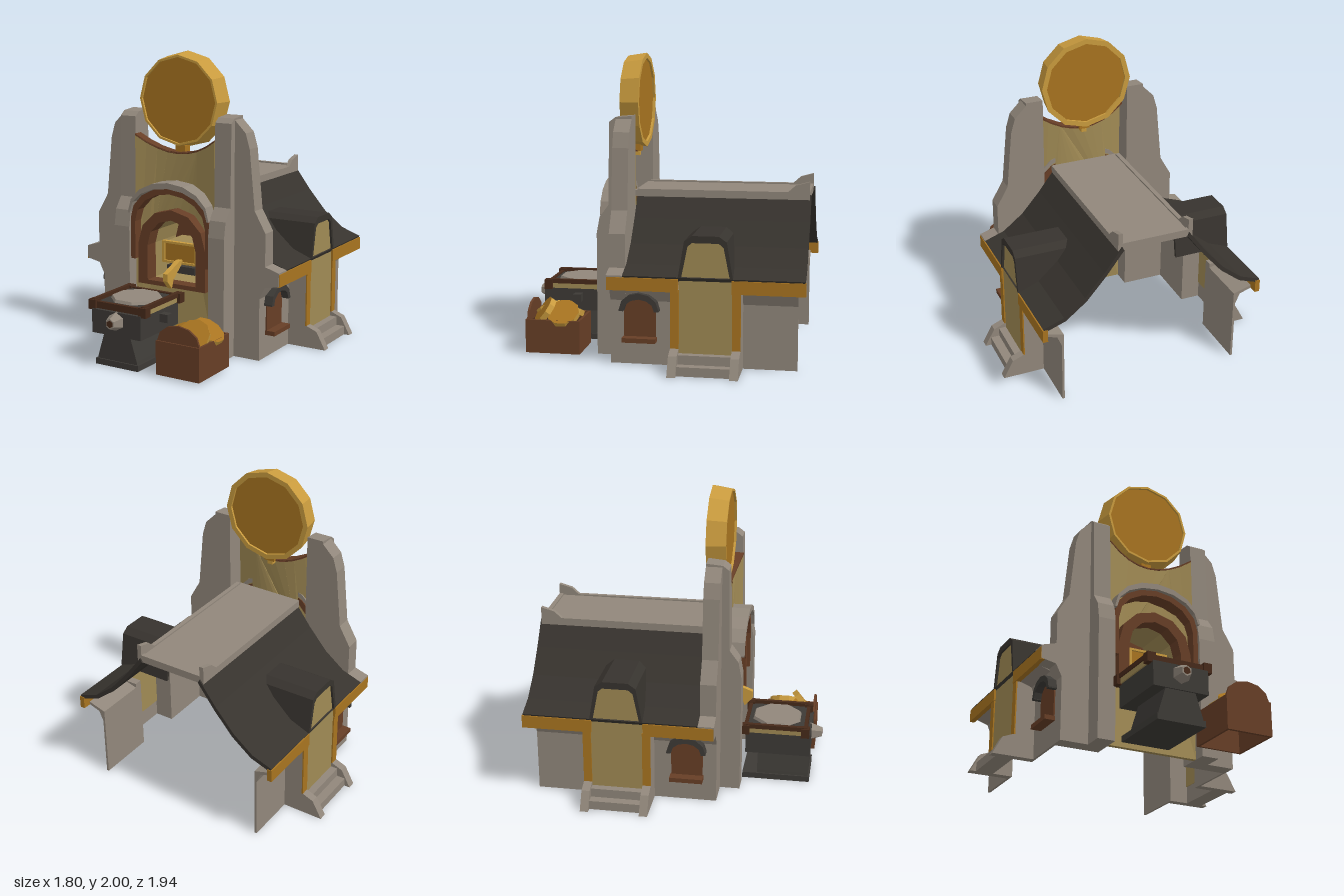
import * as THREE from 'three';

export function createModel() {
  const root = new THREE.Group();
  const mat = (name, color) => {
    const m = new THREE.MeshStandardMaterial({ color, flatShading: true, side: THREE.DoubleSide });
    m.name = name;
    return m;
  };
  const stone = mat('stone', 0x91877b), slate = mat('slate', 0x37332e), tan = mat('tanPlaster', 0xa08a54);
  const amber = mat('amberTrim', 0xa87420), gold = mat('gold', 0xc99b3e), wood = mat('wood', 0x673e26);
  const iron = mat('iron', 0x3d3a36), darkWood = mat('darkWood', 0x472a1a);

  // helpers
  const add = (name, geo, m) => {
    const mesh = new THREE.Mesh(geo, m);
    mesh.name = name;
    root.add(mesh);
    return mesh;
  };
  const both = (name, geo, m) => {
    add(name + 'Left', geo, m);
    const g = geo.index ? geo.toNonIndexed() : geo.clone();
    const p = g.attributes.position;
    for (let i = 0; i < p.count; i += 3) { // mirror x and swap two corners
      const c = [0, 2, 1].map(k => [-p.getX(i + k), p.getY(i + k), p.getZ(i + k)]);
      c.forEach((v, k) => p.setXYZ(i + k, ...v));
    }
    g.computeVertexNormals();
    add(name + 'Right', g, m);
  };
  const box = (x0, x1, y0, y1, z0, z1) =>
    new THREE.BoxGeometry(x1 - x0, y1 - y0, z1 - z0).translate((x0 + x1) / 2, (y0 + y1) / 2, (z0 + z1) / 2);
  const path = pts => pts.map(p => new THREE.Vector2(...p));
  // outline in (x, y), running from z0 to z1
  const alongZ = (pts, z0, z1, hole) => {
    const s = new THREE.Shape(path(pts));
    if (hole) s.holes.push(new THREE.Path(path(hole)));
    return new THREE.ExtrudeGeometry(s, { depth: z1 - z0, bevelEnabled: false }).translate(0, 0, z0);
  };
  // outline in (z, y), running from x0 to x1
  const alongX = (pts, x0, x1) =>
    alongZ(pts.map(([z, y]) => [-z, y]), 0, x1 - x0).rotateY(Math.PI / 2).translate(x0, 0, 0);
  // arch outline: straight legs, then a half ellipse
  const arch = (w, y0, y1, top, n = 8, c = 0) => {
    const pts = [[c - w, y0]];
    for (let i = 0; i <= n; i++) {
      const a = Math.PI * (1 - i / n);
      pts.push([c + w * Math.cos(a), y1 + (top - y1) * Math.sin(a)]);
    }
    pts.push([c + w, y0]);
    return pts;
  };
  // arched band between two arches
  const band = (o, i) => [...o, ...i.slice().reverse()];

  // front buttresses: inner pier and curved outer wing
  both('pier', alongX([[0.2, 0], [0.44, 0], [0.44, 0.82], [0.42, 0.93], [0.36, 1.01], [0.35, 1.56],
    [0.31, 1.59], [0.2, 1.6]], 0.31, 0.43), stone);
  both('wing', alongZ([[0.43, 0], [0.62, 0], [0.62, 0.42], [0.66, 0.5], [0.76, 0.52], [0.76, 0.61],
    [0.66, 0.64], [0.66, 0.86], [0.58, 1], [0.54, 1.4], [0.51, 1.5], [0.43, 1.58]], 0.2, 0.306), stone);

  // curved facade with a sagging top edge and doorway
  const top = [];
  for (let i = 0; i <= 8; i++) {
    const x = 0.31 - 0.62 * i / 8;
    top.push([x, 1.33 + 0.11 * (x / 0.31) ** 2]);
  }
  const bend = g => {
    const p = g.attributes.position;
    for (let i = 0; i < p.count; i++) p.setZ(i, p.getZ(i) + 0.5 * p.getX(i) ** 2);
    g.computeVertexNormals();
    return g;
  };
  add('facade', bend(alongZ([[-0.31, 0], [0.31, 0], ...top], 0.28, 0.31, arch(0.2, 0.44, 0.7, 0.9))), tan);
  add('facadeCoping', bend(alongZ([...top.map(([x, y]) => [x, y + 0.006]), ...top.map(([x, y]) => [x, y - 0.006]).reverse()],
    0.24, 0.312)), wood);

  // doorway: hood, outer band, inner frame and niche
  add('archHood', alongZ(band(arch(0.315, 0.92, 0.93, 1.15), arch(0.3, 0.92, 0.925, 1.11)), 0.3, 0.445), stone);
  add('archBand', alongZ(band(arch(0.31, 0.6, 0.88, 1.11), arch(0.275, 0.6, 0.86, 1.07)), 0.3, 0.42), wood);
  add('doorFrame', alongZ(arch(0.265, 0.43, 0.7, 0.96, 6), 0.3, 0.4, arch(0.19, 0.46, 0.7, 0.89, 6)), wood);
  add('niche', alongZ(band(arch(0.21, 0.44, 0.7, 0.91, 6), arch(0.19, 0.44, 0.7, 0.89, 6)), 0.03, 0.3), tan);
  add('nicheBack', alongZ(arch(0.21, 0.44, 0.7, 0.91, 6), 0.02, 0.04), wood);
  add('nicheFloor', box(-0.2, 0.2, 0.43, 0.46, 0.03, 0.31), tan);

  // long hammer resting in the doorway
  add('hammerHead', box(-0.13, 0.13, 0.58, 0.71, 0.05, 0.28), tan);
  add('hammerFace', box(-0.122, 0.122, 0.585, 0.705, 0.278, 0.286), amber);
  add('hammerRim', alongZ([[-0.14, 0.57], [0.14, 0.57], [0.14, 0.72], [-0.14, 0.72]], 0.27, 0.3,
    [[-0.12, 0.585], [0.12, 0.585], [0.12, 0.705], [-0.12, 0.705]]), gold);
  add('hammerRest', box(-0.11, 0.11, 0.5, 0.55, 0.12, 0.28), iron);
  add('hammerHandle', alongX([[0.26, 0.6], [0.32, 0.6], [0.475, 0.54], [0.475, 0.49], [0.42, 0.43], [0.4, 0.49]],
    -0.018, 0.018), gold);

  // round gold sign on a post
  const ring = new THREE.LatheGeometry(path([[0.285, 0.18], [0.32, 0.18], [0.3, 0.31], [0.285, 0.31], [0.285, 0.18]]), 12);
  add('discRim', ring.rotateX(Math.PI / 2).translate(0, 1.68, 0), gold);
  add('discFace', new THREE.CylinderGeometry(0.288, 0.288, 0.1, 12).rotateX(Math.PI / 2).translate(0, 1.68, 0.245), amber);
  add('discPost', box(-0.02, 0.02, 1.3, 1.39, 0.23, 0.27), gold);
  add('discCollar', box(-0.037, 0.037, 1.33, 1.38, 0.22, 0.28), amber);

  // main roof: flared slopes, flat ridge cap with rising rear lips
  const slope = [[0.23, 1.08], [0.35, 0.92], [0.48, 0.77], [0.62, 0.66], [0.76, 0.61]];
  both('roofSlope', alongZ(band(slope, slope.map(([x, y]) => [x - 0.012, y - 0.025])), -0.96, 0.2), slate);
  add('ridgeCap', box(-0.24, 0.24, 1.05, 1.09, -0.94, 0.22), stone);
  both('ridgeLip', alongX([[0.2, 1.05], [0.2, 1.1], [-0.81, 1.1], [-0.86, 1.145], [-0.95, 1.17], [-0.95, 1.05]],
    0.225, 0.255), stone);
  add('ridgeEnd', box(-0.24, 0.24, 1.05, 1.1, -0.95, -0.92), stone);

  // side walls, flaring out under the eaves
  const wall = [[0.605, 0], [0.62, 0], [0.62, 0.42], [0.65, 0.49], [0.74, 0.52], [0.74, 0.54], [0.605, 0.5]];
  both('sideWall', alongZ(wall, -0.11, 0.2), stone);
  both('rearWall', alongZ(wall, -0.91, -0.56), stone);
  both('eaveTrimFront', box(0.73, 0.764, 0.515, 0.6, -0.16, 0.303), amber);
  both('eaveTrimRear', box(0.73, 0.764, 0.515, 0.6, -0.965, -0.5), amber);

  // side porches: cheeks, trim, panel, roof and steps
  for (const [z0, z1] of [[-0.165, -0.11], [-0.56, -0.505]]) {
    both('porchWall', box(0.605, 0.75, 0, 0.53, z0, z1), stone);
    both('porchTrim', box(0.75, 0.759, 0.15, 0.53, z0, z1), amber);
    both('stepCheek', alongZ([[0.74, 0], [0.9, 0], [0.835, 0.12], [0.76, 0.15], [0.74, 0.15]], z0, z1), stone);
  }
  both('porchPanel', alongX([[-0.165, 0.12], [-0.165, 0.6], [-0.21, 0.8], [-0.235, 0.835], [-0.435, 0.835],
    [-0.46, 0.8], [-0.505, 0.6], [-0.505, 0.12]], 0.735, 0.75), tan);
  const dormer = [[-0.16, 0.61], [-0.2, 0.845], [-0.25, 0.88], [-0.42, 0.88], [-0.47, 0.845], [-0.51, 0.61]];
  const dormerIn = [[-0.18, 0.61], [-0.22, 0.81], [-0.25, 0.835], [-0.42, 0.835], [-0.45, 0.81], [-0.49, 0.61]];
  both('dormerRoof', alongX(band(dormer, dormerIn), 0.37, 0.765), slate);
  both('steps', alongZ([[0.74, 0], [0.86, 0], [0.86, 0.06], [0.8, 0.06], [0.8, 0.12], [0.74, 0.12]],
    -0.505, -0.165), stone);

  // arched side windows
  both('windowPane', alongX(arch(0.105, 0.17, 0.35, 0.45, 6, -0.11).map(([z, y]) => [-z, y]), 0.62, 0.629), wood);
  both('windowHood', alongX(band(arch(0.13, 0.36, 0.37, 0.48, 6, 0.11), arch(0.1, 0.36, 0.365, 0.44, 6, 0.11)),
    0.62, 0.68), iron);
  both('windowSill', box(0.62, 0.69, 0.155, 0.185, 0, 0.22), wood);

  // anvil block: slab, tapered foot, body, framed top and horn
  add('anvilSlab', box(-0.265, 0.065, 0, 0.04, 0.44, 0.9), iron);
  add('anvilFoot', alongZ([[-0.265, 0], [0.065, 0], [0.05, 0.06], [0, 0.22], [-0.2, 0.22], [-0.25, 0.06]], 0.54, 0.89), iron);
  add('anvilBody', box(-0.29, 0.09, 0.21, 0.37, 0.46, 0.9), iron);
  add('anvilBand', box(-0.3, 0.1, 0.365, 0.4, 0.46, 0.865), tan);
  for (const x of [-0.295, 0.095]) {
    add('anvilSideRail', box(x - 0.014, x + 0.014, 0.4, 0.43, 0.45, 0.88), darkWood);
    for (const z of [0.46, 0.865]) add('anvilCorner', box(x - 0.028, x + 0.028, 0.36, 0.425, z - 0.028, z + 0.028), darkWood);
  }
  for (const z of [0.46, 0.865]) add('anvilEndRail', box(-0.3, 0.1, 0.37, 0.415, z - 0.012, z + 0.012), darkWood);
  add('anvilTop', box(-0.285, 0.085, 0.395, 0.406, 0.47, 0.855), iron);
  add('anvilPlate', new THREE.CylinderGeometry(0.165, 0.18, 0.03, 8).rotateY(Math.PI / 8).translate(-0.1, 0.41, 0.66), stone);
  add('horn', new THREE.CylinderGeometry(0.035, 0.065, 0.08, 6).rotateX(Math.PI / 2).translate(-0.1, 0.31, 0.93), stone);
  add('hornTip', new THREE.CylinderGeometry(0.025, 0.025, 0.008, 6).rotateX(Math.PI / 2).translate(-0.1, 0.31, 0.968), darkWood);
  add('anvilBolt', box(0.09, 0.15, 0.28, 0.335, 0.625, 0.68), iron);

  // treasure chest filled with big coins
  for (const x of [0.21, 0.515]) add('chestSide', box(x, x + 0.015, 0.015, 0.24, 0.54, 0.905), wood);
  add('chestBack', box(0.21, 0.53, 0.015, 0.24, 0.54, 0.555), wood);
  add('chestFront', alongZ([[0.21, 0.015], [0.53, 0.015], [0.53, 0.24], [0.21, 0.24]], 0.89, 0.91), wood);
  add('chestLid', alongZ(arch(0.155, 0.23, 0.24, 0.355, 6, 0.37), 0.885, 0.9), wood);
  add('chestFilling', box(0.225, 0.515, 0.19, 0.22, 0.555, 0.89), darkWood);
  const coins = [[0.45, 0.27, 0.67, 0.11, 0, -0.6], [0.31, 0.26, 0.66, 0.1, -0.2, 0.4],
    [0.32, 0.27, 0.8, 0.09, 0.5, 0.3], [0.43, 0.28, 0.8, 0.1, 0.9, -0.3]];
  for (const [x, y, z, r, tiltX, tiltZ] of coins) {
    const coin = add('coin', new THREE.CylinderGeometry(r, r, 0.04, 10), [gold, amber, amber]);
    coin.position.set(x, y, z);
    coin.rotation.set(tiltX, 0, tiltZ);
  }

  return root;
}
